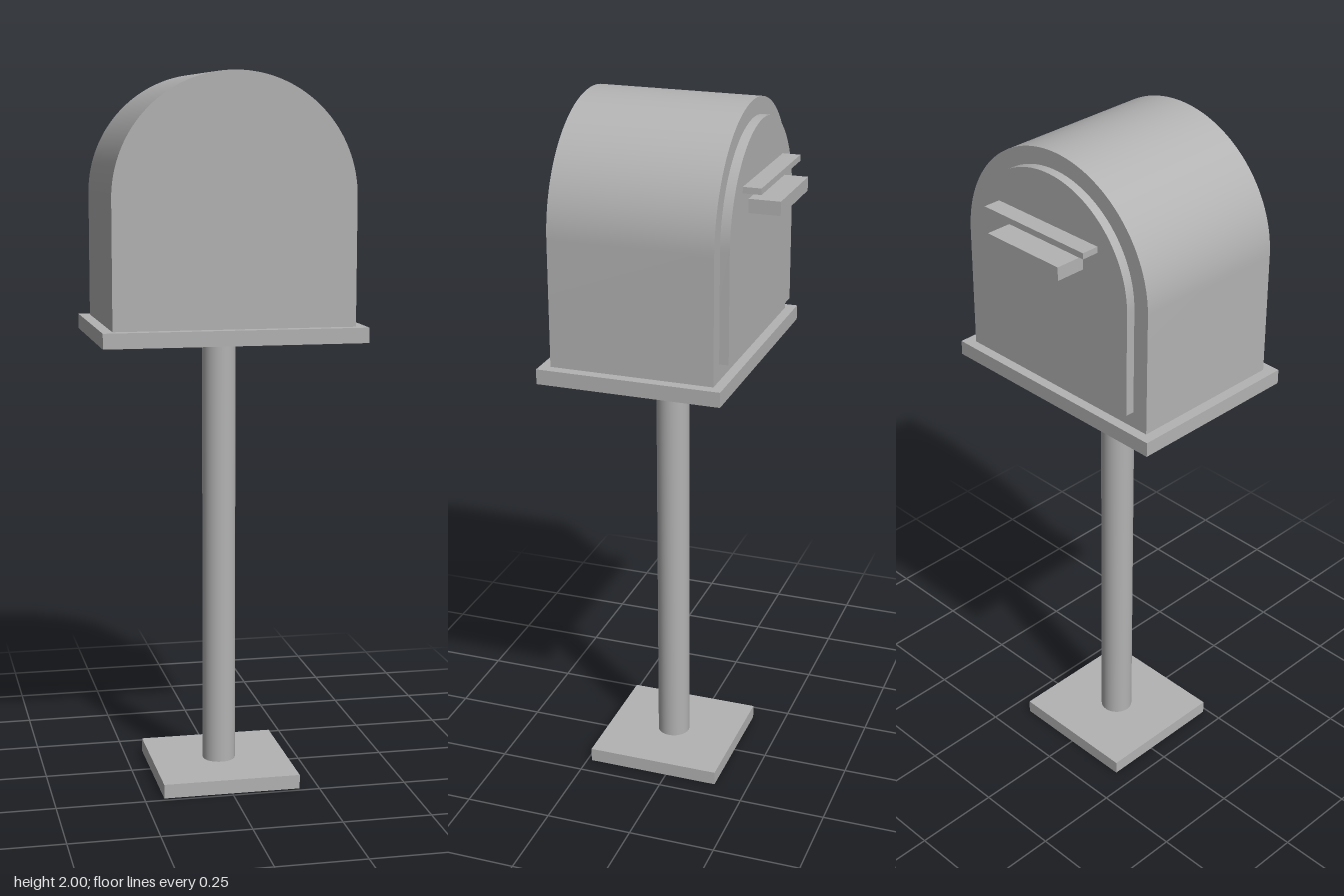
import * as THREE from 'three';
import { toCreasedNormals } from 'three/addons/utils/BufferGeometryUtils.js';

export function createModel() {
  const model = new THREE.Group();
  model.name = 'mailbox';
  const grey = new THREE.MeshStandardMaterial({ color: 0xb3b3b3 });
  grey.name = 'grey metal';

  const ARCH_Y = 1.667; // height where the straight walls meet the arch
  const POST_Z = 0.042; // post, base and tray share this centre

  function add(name, geometry, x = 0, y = 0, z = 0) {
    const mesh = new THREE.Mesh(geometry, grey);
    mesh.name = name;
    mesh.position.set(x, y, z);
    model.add(mesh);
  }

  function box(name, width, y0, y1, z0, z1) {
    add(name, new THREE.BoxGeometry(width, y1 - y0, z1 - z0), 0, (y0 + y1) / 2, (z0 + z1) / 2);
  }

  // Round-topped slab running from z0 to z1
  function arch(name, radius, bottom, z0, z1) {
    const shape = new THREE.Shape();
    shape.moveTo(-radius, bottom);
    shape.lineTo(radius, bottom);
    shape.lineTo(radius, ARCH_Y);
    shape.absarc(0, ARCH_Y, radius, 0, Math.PI, false);
    shape.closePath();
    const geometry = new THREE.ExtrudeGeometry(shape, {
      depth: z1 - z0, bevelEnabled: false, curveSegments: 32,
    });
    add(name, toCreasedNormals(geometry, 0.5), 0, 0, z0);
  }

  // Stand
  box('base', 0.39, 0, 0.04, POST_Z - 0.195, POST_Z + 0.195);
  add('post', new THREE.CylinderGeometry(0.047, 0.047, 1.236, 32), 0, 0.658, POST_Z);
  box('tray', 0.726, 1.276, 1.318, -0.215, 0.299);

  // Box with its raised door on the back
  arch('body', 0.333, 1.318, -0.187, 0.27);
  arch('door', 0.286, 1.365, -0.213, -0.187);

  // Slot hood and handle on the door
  box('slotHood', 0.364, 1.797, 1.814, -0.263, -0.21);
  box('handle', 0.26, 1.731, 1.769, -0.3, -0.21);

  return model;
}
